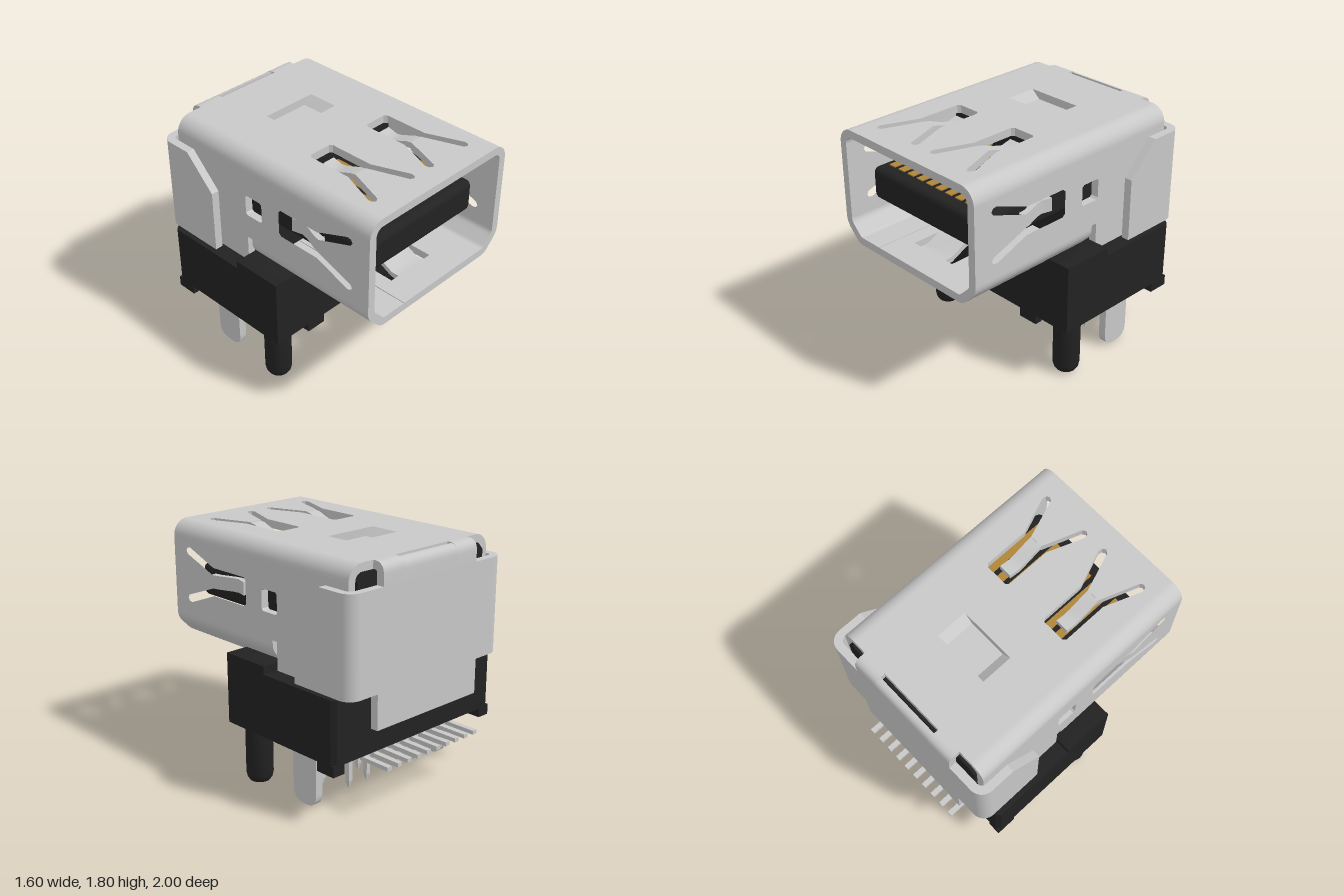
import * as THREE from 'three';
import { toCreasedNormals } from 'three/addons/utils/BufferGeometryUtils.js';
import { RoundedBoxGeometry } from 'three/addons/geometries/RoundedBoxGeometry.js';

const metal = new THREE.MeshStandardMaterial({ color: 0xc8c8c8, name: 'silver metal' });
const plastic = new THREE.MeshStandardMaterial({ color: 0x222222, name: 'black plastic' });
const gold = new THREE.MeshStandardMaterial({ color: 0xb08538, name: 'gold contact' });

const vec = (pts) => pts.map(([a, b]) => new THREE.Vector2(a, b));
const poly = (pts) => new THREE.Shape(vec(pts));
const hole = (pts) => new THREE.Path(vec(pts));
const rect = (a0, a1, b0, b1) => [[a0, b0], [a1, b0], [a1, b1], [a0, b1]];

// Extrude a shape drawn in (x, y) from z0 to z1.
function alongZ(shape, z0, z1) {
  const g = new THREE.ExtrudeGeometry(shape, { depth: z1 - z0, bevelEnabled: false, curveSegments: 8 });
  return toCreasedNormals(g.translate(0, 0, z0), 0.6);
}
// Extrude a shape drawn in (z, y) from x0 to x1.
const alongX = (shape, x0, x1) => alongZ(shape, 0, x1 - x0).rotateY(-Math.PI / 2).translate(x1, 0, 0);
// Extrude a shape drawn in (x, z) from y0 to y1.
const alongY = (shape, y0, y1) => alongZ(shape, 0, y1 - y0).rotateX(Math.PI / 2).translate(0, y1, 0);

// Forked slot around a spring finger, as (across, along) points.
function springSlot(c) {
  const half = [[0.105, 0.19], [0.105, 0.53], [0.208, 0.8], [0.203, 0.83], [0.18, 0.845], [0.155, 0.83], [0.05, 0.54]];
  return [[0.085, 0.17], ...half, ...half.map(([a, b]) => [-a, b]).reverse(), [-0.085, 0.17]].map(([a, b]) => [a + c, b]);
}

// Bent strip: a top line and the same line shifted down by t.
const strip = (pts, t) => poly([...pts, ...pts.map(([a, b]) => [a, b - t]).reverse()]);

export function createModel() {
  const root = new THREE.Group();
  root.name = 'socketConnector';
  const add = (name, geo, mat, x = 0, y = 0, z = 0, parent = root) => {
    const m = new THREE.Mesh(geo, mat);
    m.name = name;
    m.position.set(x, y, z);
    parent.add(m);
    return m;
  };
  const box = (name, mat, x0, x1, y0, y1, z0, z1) =>
    add(name, new THREE.BoxGeometry(x1 - x0, y1 - y0, z1 - z0), mat, (x0 + x1) / 2, (y0 + y1) / 2, (z0 + z1) / 2);

  // Shell top with two spring slots and a pressed window
  const top = poly(rect(-0.56, 0.56, -0.84, 1));
  top.holes.push(hole(springSlot(-0.275)), hole(springSlot(0.275)), hole(rect(-0.22, 0.22, -0.41, -0.17)));
  add('shellTop', alongY(top, 1.74, 1.8), metal);
  add('pressedTab', alongZ(strip([[-0.22, 1.8], [-0.15, 1.74], [0.15, 1.74], [0.22, 1.8]], 0.06), -0.41, -0.17), metal);

  // Shell bottom with a latch tab and a seam
  const bottom = poly(rect(-0.51, 0.51, -0.1, 1));
  bottom.holes.push(hole(rect(-0.2, 0.2, 0.45, 0.78)), hole(rect(-0.324, -0.318, 0, 0.997)));
  add('shellBottom', alongY(bottom, 0.92, 0.98), metal);
  add('latchTab', alongX(strip([[0.79, 0.98], [0.72, 0.98], [0.58, 1.05], [0.54, 1.05], [0.47, 1.0]], 0.04), -0.13, 0.13), metal);

  // Spring finger, dipping into the shell (local -y)
  const finger = alongX(strip([[0.56, 0], [0.5, -0.01], [0.38, -0.055], [0.33, -0.065], [0.25, -0.045]], 0.045), -0.05, 0.05);
  for (const x of [-0.275, 0.275]) add('topSpring', finger, metal, x, 1.8, 0);

  for (const s of [-1, 1]) {
    // Side walls
    const wall = poly([[1, 1.68], [1, 1.1], [-0.1, 1.1], [-0.1, 1.13], [-0.145, 1.13], [-0.145, 0.92], [-0.84, 0.92], [-0.84, 1.68]]);
    wall.holes.push(hole(springSlot(1.415).map(([a, b]) => [b + 0.01, a])));
    wall.holes.push(hole([[0.01, 1.335], [0.01, 1.465], [-0.005, 1.48], [-0.135, 1.48], [-0.15, 1.465], [-0.15, 1.335], [-0.135, 1.32], [-0.005, 1.32]]));
    add('shellSide', alongX(wall, Math.min(s * 0.62, s * 0.68), Math.max(s * 0.62, s * 0.68)), metal);
    add('sideSpring', finger, metal, s * 0.68, 1.415, 0.01).rotation.z = -s * Math.PI / 2;

    // Rounded upper corner of the shell
    const a0 = s > 0 ? 0 : Math.PI / 2;
    const ring = new THREE.Shape();
    ring.absarc(s * 0.56, 1.68, 0.12, a0, a0 + Math.PI / 2, false);
    ring.absarc(s * 0.56, 1.68, 0.06, a0 + Math.PI / 2, a0, true);
    add('shellUpperCorner', alongZ(ring, -0.84, 1), metal);

    // Slanted lower corner of the shell
    const slant = new THREE.Shape();
    slant.moveTo(s * 0.68, 1.1);
    slant.quadraticCurveTo(s * 0.68, 1.05, s * 0.64, 1.01);
    slant.lineTo(s * 0.575, 0.945);
    slant.quadraticCurveTo(s * 0.55, 0.92, s * 0.51, 0.92);
    slant.lineTo(s * 0.51, 0.98);
    slant.quadraticCurveTo(s * 0.525, 0.98, s * 0.54, 0.995);
    slant.lineTo(s * 0.6, 1.055);
    slant.quadraticCurveTo(s * 0.62, 1.075, s * 0.62, 1.1);
    add('shellLowerCorner', alongZ(slant, -0.1, 1), metal);

    // Grounding leg
    const leg = new THREE.Shape();
    leg.moveTo(-0.3, 0.92);
    leg.lineTo(-0.3, 0.1);
    leg.quadraticCurveTo(-0.3, 0, -0.4, 0);
    leg.lineTo(-0.43, 0);
    leg.quadraticCurveTo(-0.53, 0, -0.53, 0.1);
    leg.lineTo(-0.53, 0.92);
    add('groundLeg', alongX(leg, s * 0.65 - 0.03, s * 0.65 + 0.03), metal);

    // Rear cover: side flap, rounded corner and strap
    const flap = poly([[-0.41, 0.92], [-0.41, 1.4], [-0.65, 1.64], [-0.835, 1.64], [-0.835, 0.92]]);
    add('coverSide', alongX(flap, s * 0.73 - 0.03, s * 0.73 + 0.03), metal);
    const bend = new THREE.Shape();
    const b0 = s > 0 ? -Math.PI / 2 : Math.PI;
    bend.absarc(s * 0.66, -0.835, 0.1, b0, b0 + Math.PI / 2, false);
    bend.absarc(s * 0.66, -0.835, 0.04, b0 + Math.PI / 2, b0, true);
    add('coverCorner', alongY(bend, 0.92, 1.64), metal);

    // Locating peg
    const peg = [[0, 0], [0.05, 0], [0.075, 0.01], [0.092, 0.035], [0.1, 0.07], [0.1, 0.46]];
    add('peg', toCreasedNormals(new THREE.LatheGeometry(vec(peg), 28), 0.6), plastic, s * 0.655, 0, 0.1);

    // Stand-off feet
    box('frontFoot', plastic, s * 0.415 - 0.08, s * 0.415 + 0.08, 0.38, 0.46, 0.2, 0.26);
    box('rearFoot', plastic, s * 0.75 - 0.05, s * 0.75 + 0.05, 0.38, 0.46, -0.83, -0.67);
  }

  // Rear cover plate, tail and bent upper straps
  box('coverBack', metal, -0.66, 0.66, 0.92, 1.64, -0.935, -0.875);
  box('coverTail', metal, -0.5, 0.5, 0.66, 0.92, -0.935, -0.875);
  const strap = (z) => {
    const p = new THREE.Shape();
    p.moveTo(z, 1.8);
    p.lineTo(-0.855, 1.8);
    p.quadraticCurveTo(-0.935, 1.8, -0.935, 1.72);
    p.lineTo(-0.935, 1.64);
    p.lineTo(-0.875, 1.64);
    p.lineTo(-0.875, 1.72);
    p.quadraticCurveTo(-0.875, 1.74, -0.855, 1.74);
    p.lineTo(z, 1.74);
    return p;
  };
  add('strap', alongX(strap(-0.84), -0.46, -0.26), metal);
  add('strap', alongX(strap(-0.84), 0.26, 0.46), metal);
  const lip = new THREE.Shape();
  lip.moveTo(-0.875, 1.795);
  lip.quadraticCurveTo(-0.935, 1.79, -0.935, 1.72);
  lip.lineTo(-0.935, 1.64);
  lip.lineTo(-0.875, 1.64);
  add('coverLip', alongX(lip, -0.26, 0.26), metal);

  // Base with a trough for the shell
  add('baseFront', alongZ(poly([[-0.8, 0.45], [0.8, 0.45], [0.8, 0.98], [0.62, 0.98], [0.53, 0.92], [-0.53, 0.92], [-0.62, 0.98], [-0.8, 0.98]]), -0.14, 0.26), plastic);
  add('baseRear', alongY(poly([[-0.8, -0.14], [0.8, -0.14], [0.8, -0.8], [0.77, -0.83], [-0.77, -0.83], [-0.8, -0.8]]), 0.45, 0.92), plastic);

  // Inner housing, notched at the top in front
  const low = [[-0.615, 1.08], [-0.515, 0.98], [0.515, 0.98], [0.615, 1.08], [0.615, 1.69], [0.57, 1.74]];
  const notch = [[0.45, 1.74], [0.45, 1.665], [-0.45, 1.665], [-0.45, 1.74]];
  add('housingFront', alongZ(poly([...low, ...notch, [-0.57, 1.74], [-0.615, 1.69]]), -0.5, 0), plastic);
  add('housingRear', alongZ(poly([...low, [-0.57, 1.74], [-0.615, 1.69]]), -0.86, -0.5), plastic);

  // Tongue
  add('tongue', new RoundedBoxGeometry(1.1, 0.25, 0.95, 4, 0.05), plastic, 0, 1.36, 0.375);

  for (let i = 0; i < 10; i++) {
    // Contacts on both faces of the tongue
    const x = (i - 4.5) * 0.0985;
    for (const y of [1.488, 1.232]) box('contact', gold, x - 0.03, x + 0.03, y - 0.0045, y + 0.0045, 0, 0.75);
    // Surface pins at the rear
    box('rearPin', metal, x - 0.02, x + 0.02, 0.375, 0.405, -1, -0.74);
    box('rearPinStem', metal, x - 0.02, x + 0.02, 0.375, 0.46, -0.77, -0.74);
  }

  // Through pins in two staggered rows
  const tip = new THREE.CylinderGeometry(0.025, 0.009, 0.05, 4, 1).rotateY(Math.PI / 4).toNonIndexed();
  tip.computeVertexNormals();
  [0.443, 0.343, 0.262, 0.162, 0.081].forEach((px, i) => {
    const z = i % 2 ? -0.51 : -0.34;
    for (const x of [-px, px]) {
      box('throughPin', metal, x - 0.0177, x + 0.0177, 0.1, 0.46, z - 0.0177, z + 0.0177);
      add('throughPinTip', tip, metal, x, 0.075, z);
    }
  });
  return root;
}
